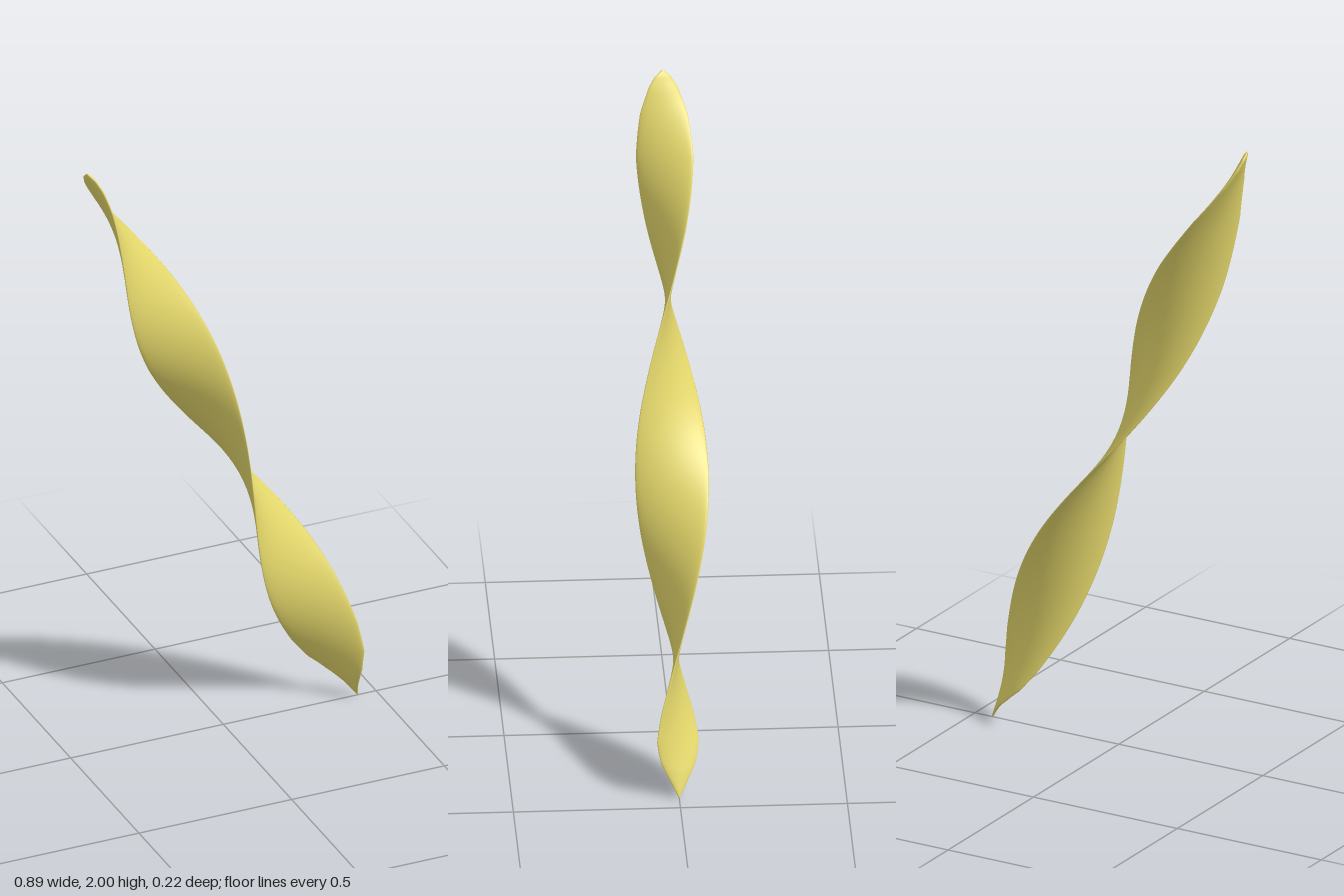
import * as THREE from 'three';

// Half-width along the blade: position (0 bottom, 1 top), half-width
const PROFILE = [
  [0, 0], [0.02, 0.024], [0.05, 0.066], [0.08, 0.096], [0.12, 0.105], [0.2, 0.108],
  [0.35, 0.11], [0.5, 0.11], [0.65, 0.108], [0.78, 0.102], [0.88, 0.091],
  [0.94, 0.071], [0.975, 0.046], [0.99, 0.027], [1, 0],
];

function halfWidth(t) {
  let k = 1;
  while (k < PROFILE.length - 1 && PROFILE[k][0] < t) k++;
  const [t0, w0] = PROFILE[k - 1], [t1, w1] = PROFILE[k];
  return w0 + (w1 - w0) * (t - t0) / (t1 - t0);
}

// Thin lens-shaped section swept up a leaning axis while it twists a full turn
function twistedBlade(rows = 160, sides = 32) {
  const bottom = new THREE.Vector3(0.44, 0.003, 0);
  const top = new THREE.Vector3(-0.447, 1.998, 0);
  const dir = top.clone().sub(bottom).normalize();
  const across = new THREE.Vector3(-dir.x, 0, 0).set(dir.y, -dir.x, 0);
  const front = new THREE.Vector3(0, 0, 1);
  const positions = [], index = [];

  for (let i = 0; i <= rows; i++) {
    // rows crowd towards both tips
    const t = 0.5 - 0.5 * Math.cos(Math.PI * i / rows);
    const centre = bottom.clone().lerp(top, t);
    const turn = Math.PI * (1.385 - centre.y) / 0.985;
    const edge = across.clone().multiplyScalar(Math.cos(turn)).addScaledVector(front, Math.sin(turn));
    const normal = dir.clone().cross(edge);
    const w = halfWidth(t);
    const h = 0.009 * Math.min(1, Math.sqrt(w / 0.05));
    for (let j = 0; j < sides; j++) {
      const a = 2 * Math.PI * j / sides;
      const p = centre.clone()
        .addScaledVector(edge, w * Math.cos(a))
        .addScaledVector(normal, h * Math.sin(a));
      positions.push(p.x, p.y, p.z);
    }
  }
  for (let i = 0; i < rows; i++) {
    for (let j = 0; j < sides; j++) {
      const a = i * sides + j, b = i * sides + (j + 1) % sides;
      index.push(a, b, b + sides, a, b + sides, a + sides);
    }
  }
  const geometry = new THREE.BufferGeometry();
  geometry.setAttribute('position', new THREE.Float32BufferAttribute(positions, 3));
  geometry.setIndex(index);
  geometry.computeVertexNormals();
  return geometry;
}

export function createModel() {
  const group = new THREE.Group();
  const material = new THREE.MeshStandardMaterial({ color: 0xe6d96c });
  const blade = new THREE.Mesh(twistedBlade(), material);
  blade.name = 'twistedBlade';
  group.add(blade);
  return group;
}
